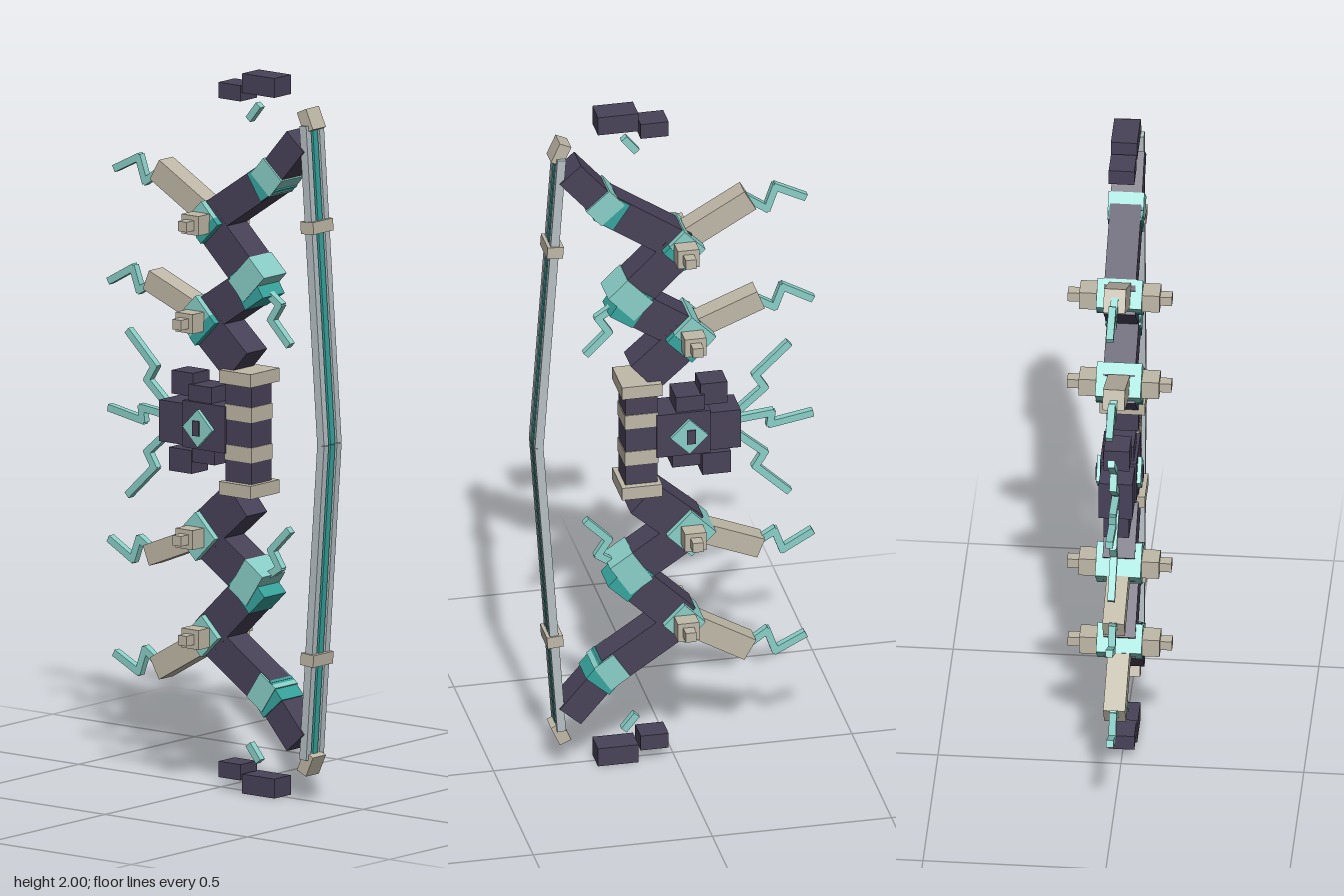
import * as THREE from 'three';

const mat = (name, color) => {
  const m = new THREE.MeshStandardMaterial({ color });
  m.name = name;
  return m;
};

export function createModel() {
  const model = new THREE.Group();
  model.name = 'bow';
  const dark = mat('dark violet', 0x484258);
  const bone = mat('bone', 0xc0b9a8);
  const cyan = mat('pale cyan', 0x8ad0c8);
  const teal = mat('teal', 0x37a59e);
  const grey = mat('string grey', 0xb6c0c4);

  // Box by centre, size and roll
  const box = (name, m, x, y, z, w, h, d, roll = 0) => {
    const mesh = new THREE.Mesh(new THREE.BoxGeometry(w, h, d), m);
    mesh.name = name;
    mesh.position.set(x, y, z);
    mesh.rotation.z = roll;
    model.add(mesh);
    return mesh;
  };
  // Bar between two points in the xy plane
  const bar = (name, m, a, b, w, d, z = 0, extra = 0) => {
    const dx = b[0] - a[0], dy = b[1] - a[1];
    return box(name, m, (a[0] + b[0]) / 2, (a[1] + b[1]) / 2, z,
      Math.hypot(dx, dy) + extra, w, d, Math.atan2(dy, dx));
  };
  const bolt = (name, pts) => {
    for (let i = 0; i < pts.length - 1; i++)
      bar(name, cyan, pts[i], pts[i + 1], 0.02, 0.02, 0, 0.012);
  };
  // Point a given distance from a toward b
  const toward = (a, b, dist) => {
    const l = Math.hypot(b[0] - a[0], b[1] - a[1]);
    return [a[0] + (b[0] - a[0]) * dist / l, a[1] + (b[1] - a[1]) * dist / l];
  };

  // Grip with bone rings
  box('grip', dark, 0.097, 1, 0, 0.09, 0.3, 0.088);
  for (const s of [-1, 1]) {
    box('gripStripe', bone, 0.097, 1 + s * 0.056, 0, 0.094, 0.042, 0.092);
    box('gripCap', bone, 0.099, 1 + s * 0.155, 0, 0.112, 0.037, 0.125);
  }

  // Rear cluster of blocks with a gem on each side
  const blocks = [
    [-0.095, 0.055, 0.94, 1.07, 0.1], [-0.18, -0.095, 0.945, 1.06, 0.092],
    [-0.145, -0.07, 1.08, 1.145, 0.07], [-0.08, 0, 1.04, 1.115, 0.084],
    [-0.155, -0.075, 0.865, 0.93, 0.07], [-0.07, 0.01, 0.9, 0.945, 0.08],
  ];
  for (const [x0, x1, y0, y1, d] of blocks)
    box('clusterBlock', dark, (x0 + x1) / 2, (y0 + y1) / 2, 0, x1 - x0, y1 - y0, d);
  box('gem', cyan, -0.034, 1, 0, 0.074, 0.074, 0.122, Math.PI / 4);
  box('gemSlit', dark, -0.038, 1, 0, 0.024, 0.042, 0.13);
  bolt('middleBolt', [[-0.385, 1.005], [-0.27, 0.985], [-0.275, 1.02], [-0.18, 1.01]]);

  // Upper and lower limbs
  for (const s of [1, -1]) {
    const p = (x, y) => [x, 1 + s * (y - 1)];
    const path = [p(0.09, 1.185), p(-0.04, 1.3), p(0.14, 1.42),
      p(-0.02, 1.575), p(0.19, 1.715), p(0.295, 1.835)];
    const widths = [0.11, 0.1, 0.1, 0.09, 0.078];
    widths.forEach((w, i) => bar('limbSegment', dark, path[i], path[i + 1], w, 0.088 - i * 0.0006));

    // Glowing elbows, paler on the upper half
    for (const [i, w, len] of [[2, 0.104, 0.055], [4, 0.086, 0.045]]) {
      const c = path[i];
      const inner = toward(c, path[i - 1], len), outer = toward(c, path[i + 1], len);
      bar('elbowInner', s > 0 ? teal : cyan, inner, toward(c, path[i - 1], -0.02), w, s > 0 ? 0.094 : 0.098);
      bar('elbowOuter', s > 0 ? cyan : teal, toward(c, path[i + 1], -0.02), outer, w, s > 0 ? 0.098 : 0.094);
    }

    // Diamond joints with stepped pegs on both sides
    for (const [i, size] of [[1, 0.096], [3, 0.082]]) {
      const [x, y] = path[i];
      box('joint', cyan, x, y, 0, size, size, 0.124, Math.PI / 4);
      if (s > 0) {
        const o = size * 0.26;
        box('jointShade', teal, x + o, y - o, 0, size * 0.3, size * 1.02, 0.128, -Math.PI / 4);
      }
      box('pegBase', bone, x, y, 0, 0.06, 0.054, 0.22);
      box('pegTip', bone, x, y, 0, 0.03, 0.028, 0.285);
    }

    // Horns and bolts
    bar('horn', bone, p(-0.21, 1.693), p(-0.045, 1.598), 0.066, 0.06);
    bar('horn', bone, p(-0.24, 1.383), p(-0.07, 1.315), 0.058, 0.06);
    bolt('hornBolt', [p(-0.365, 1.675), p(-0.285, 1.715), p(-0.262, 1.65), p(-0.205, 1.69)]);
    bolt('hornBolt', [p(-0.385, 1.36), p(-0.305, 1.405), p(-0.283, 1.345), p(-0.225, 1.38)]);
    bolt('elbowBolt', [p(0.165, 1.395), p(0.21, 1.365), p(0.18, 1.32), p(0.24, 1.26)]);
    bolt('clusterBolt', [p(-0.32, 1.225), p(-0.23, 1.14), p(-0.255, 1.1), p(-0.18, 1.035)]);

    // Floating fragments beyond the limb tip
    const big = p(0.16, 1.973), small = p(0.058, 1.943);
    box('fragmentLarge', dark, big[0], big[1], 0, 0.113, 0.054, 0.072);
    box('fragmentSmall', dark, small[0], small[1], 0, 0.078, 0.044, 0.07);
    bar('fragmentSpark', cyan, p(0.102, 1.868), p(0.138, 1.912), 0.02, 0.02);

    // String of three strands, tip and clamp
    const top = p(0.318, 1.88), mid = p(0.381, 1);
    for (const z of [-0.028, 0, 0.028])
      bar('stringStrand', z ? grey : teal, top, mid, 0.024, 0.02, z);
    bar('stringTip', bone, p(0.305, 1.92), p(0.33, 1.865), 0.035, 0.056);
    const c = p(0.337, 1.6);
    box('stringClamp', bone, c[0], c[1], 0, 0.045, 0.034, 0.086, s * 0.07);
  }
  return model;
}
